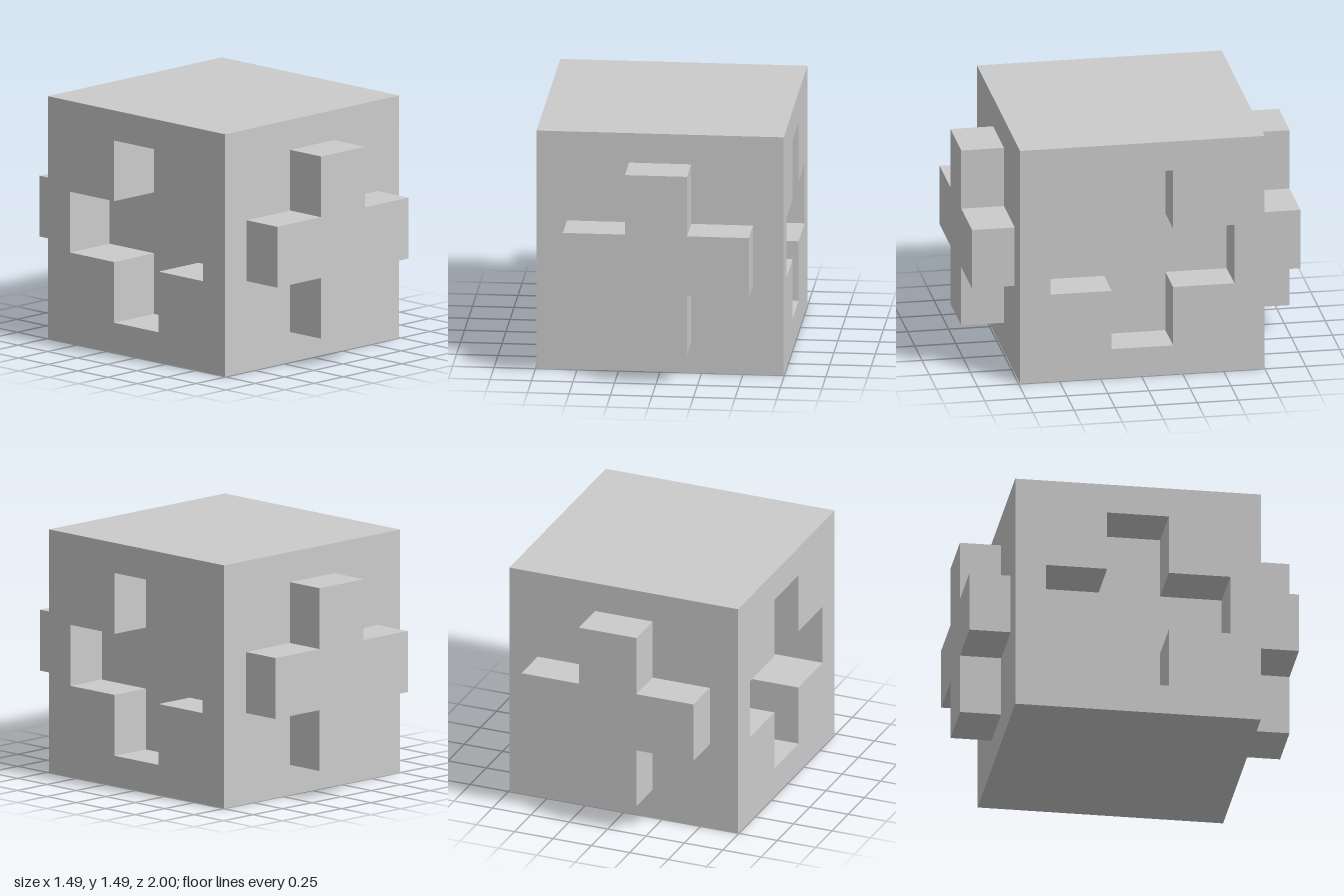
import * as THREE from 'three';

const HALF = 0.745;           // half the cube's edge
const ARM = 0.56;             // cross centre to arm tip
const BAR = 0.187;            // half the width of an arm
const CENTRE_Z = -0.005;

// Outline of a plus sign, counter-clockwise: three corners per arm, turned four times
function crossPoints() {
  const points = [];
  const origin = new THREE.Vector2();
  for (let i = 0; i < 4; i++) {
    for (const [x, y] of [[ARM, -BAR], [ARM, BAR], [BAR, BAR]]) {
      points.push(new THREE.Vector2(x, y).rotateAround(origin, i * Math.PI / 2));
    }
  }
  return points;
}

// Cross prism from z = 0 to z = depth, open at z = 0
function openCross(depth) {
  const solid = new THREE.ExtrudeGeometry(new THREE.Shape(crossPoints()), { depth, bevelEnabled: false });
  const lid = 10 * 9; // the 10 triangles of the lid at z = 0 come first
  const geometry = new THREE.BufferGeometry();
  geometry.setAttribute('position', new THREE.BufferAttribute(solid.attributes.position.array.slice(lid), 3));
  geometry.computeVertexNormals();
  return geometry;
}

export function createModel() {
  const model = new THREE.Group();
  const material = new THREE.MeshStandardMaterial({ color: 0xcccccc, flatShading: true });

  const add = (parent, name, geometry) => {
    const mesh = new THREE.Mesh(geometry, material);
    mesh.name = name;
    parent.add(mesh);
  };

  const block = new THREE.Group();
  block.name = 'block';
  block.position.set(0, HALF, CENTRE_Z);
  model.add(block);

  // Top, bottom, front and back of the cube; its two x faces are built with the sockets
  const shell = new THREE.BoxGeometry(2 * HALF, 2 * HALF, 2 * HALF);
  shell.setIndex(Array.from(shell.index.array).slice(12));
  shell.clearGroups();
  add(block, 'blockShell', shell);

  // Group whose local z = 0 plane lies on one face of the cube, z outward
  const faceGroup = (name, angle) => {
    const group = new THREE.Group();
    group.name = name;
    group.rotation.y = angle;
    group.position.set(HALF * Math.sin(angle), 0, HALF * Math.cos(angle));
    block.add(group);
    return group;
  };

  // Raised crosses
  for (const [name, angle, height] of [['frontPlug', 0, 0.26], ['backPlug', Math.PI, 0.25]]) {
    add(faceGroup(name, angle), name + 'Cross', openCross(height));
  }

  // Sunken crosses, the left one deeper
  for (const [name, angle, depth] of [['rightSocket', Math.PI / 2, 0.264], ['leftSocket', -Math.PI / 2, 0.34]]) {
    const group = faceGroup(name, angle);
    const face = new THREE.Shape([[-1, -1], [1, -1], [1, 1], [-1, 1]]
      .map(([x, y]) => new THREE.Vector2(x * HALF, y * HALF)));
    face.holes.push(new THREE.Path(crossPoints()));
    add(group, name + 'Face', new THREE.ShapeGeometry(face));
    // Mirroring in z turns the prism inside out
    const pocket = openCross(depth).scale(1, 1, -1);
    pocket.computeVertexNormals();
    add(group, name + 'Pocket', pocket);
  }

  return model;
}
